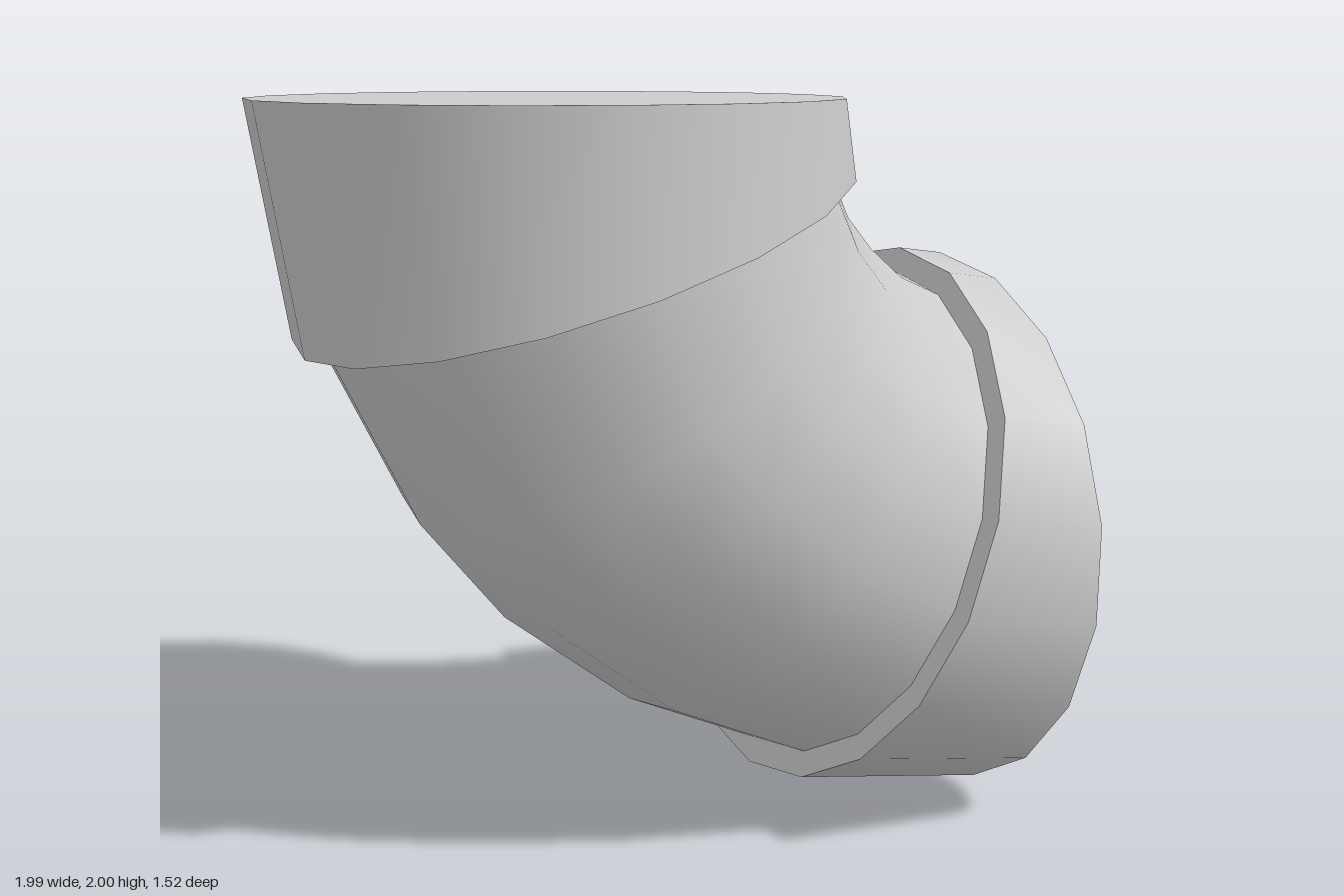
import * as THREE from 'three';

const SIDES = 18;

// Skins elliptical sections [outerX, outerY, innerX, innerY, halfWidth] along the bend.
function loft(sections, capped) {
  const pos = [], index = [];
  const addRing = ([ax, ay, bx, by, r]) => {
    const start = pos.length / 3;
    for (let i = 0; i < SIDES; i++) {
      const t = (i / SIDES) * Math.PI * 2, k = Math.cos(t) / 2;
      pos.push((ax + bx) / 2 + (ax - bx) * k, (ay + by) / 2 + (ay - by) * k, r * Math.sin(t));
    }
    return start;
  };
  const starts = sections.map(addRing);
  for (let s = 0; s < starts.length - 1; s++) {
    for (let i = 0; i < SIDES; i++) {
      const j = (i + 1) % SIDES, p = starts[s], q = starts[s + 1];
      index.push(p + i, q + i, p + j, p + j, q + i, q + j);
    }
  }
  // Flat end discs with their own vertices, so the rims stay sharp
  if (capped) {
    const first = addRing(sections[0]), last = addRing(sections[sections.length - 1]);
    for (let i = 1; i < SIDES - 1; i++) {
      index.push(first, first + i, first + i + 1, last, last + i + 1, last + i);
    }
  }
  const g = new THREE.BufferGeometry();
  g.setAttribute('position', new THREE.Float32BufferAttribute(pos, 3));
  g.setIndex(index);
  g.computeVertexNormals();
  return g;
}

export function createModel() {
  const group = new THREE.Group();
  group.name = 'pipeElbow';
  const material = new THREE.MeshStandardMaterial({ color: 0xcccccc });
  const add = (name, sections, capped) => {
    const mesh = new THREE.Mesh(loft(sections, capped), material);
    mesh.name = name;
    group.add(mesh);
  };

  // Curved pipe, running a little way into both collars
  add('elbowPipe', [
    [-0.86, 1.5, 0.49, 1.9, 0.705],
    [-0.835, 1.39, 0.5, 1.835, 0.705],
    [-0.6, 0.92, 0.56, 1.71, 0.705],
    [-0.37, 0.64, 0.63, 1.63, 0.705],
    [0, 0.355, 0.72, 1.555, 0.705],
    [0.41, 0.17, 0.835, 1.505, 0.705],
    [0.52, 0.14, 0.9, 1.495, 0.705],
  ], false);

  // Collars: level cut at the outer end, slanted where they meet the pipe
  add('upperCollar', [
    [-0.995, 2, 0.53, 2, 0.765],
    [-0.89, 1.37, 0.555, 1.855, 0.765],
  ], true);
  add('lowerCollar', [
    [0.39, 0.1, 0.855, 1.57, 0.77],
    [0.995, 0, 0.995, 1.55, 0.77],
  ], true);

  return group;
}
